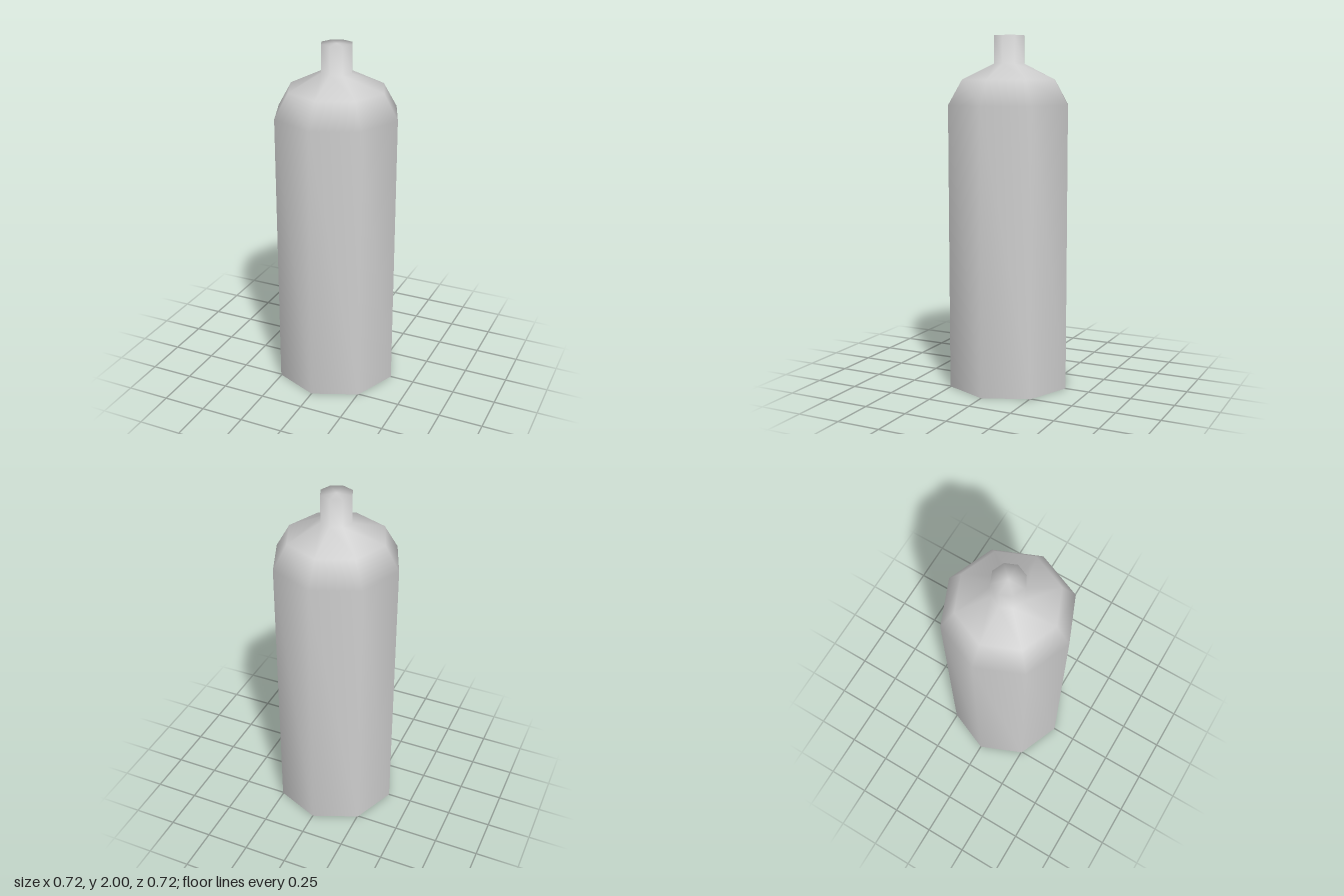
import * as THREE from 'three';
import { mergeVertices } from 'three/addons/utils/BufferGeometryUtils.js';

const SIDES = 8;
const BODY_RADIUS = 0.359;
const NECK_RADIUS = 0.09;

// Eight-sided turned shell with normals smoothed across all its faces
function smoothLathe(profile) {
  const points = profile.map(([r, y]) => new THREE.Vector2(r, y));
  const lathe = new THREE.LatheGeometry(points, SIDES);
  lathe.deleteAttribute('uv');
  lathe.deleteAttribute('normal');
  const geometry = mergeVertices(lathe, 1e-4);
  geometry.computeVertexNormals();
  return geometry;
}

export function createModel() {
  const group = new THREE.Group();
  group.name = 'bottle';
  const material = new THREE.MeshStandardMaterial({ color: 0xcccccc });

  // Straight body, sloping shoulder and closed neck in one continuous skin
  const shell = new THREE.Mesh(smoothLathe([
    [BODY_RADIUS, 0],
    [BODY_RADIUS, 1.615],
    [0.278, 1.755],
    [NECK_RADIUS, 1.845],
    [NECK_RADIUS, 2],
    [0, 2],
  ]), material);
  shell.name = 'bottleShell';
  group.add(shell);

  // Flat underside
  const base = new THREE.Mesh(new THREE.CircleGeometry(BODY_RADIUS, SIDES), material);
  base.rotation.x = Math.PI / 2;
  base.name = 'base';
  group.add(base);

  return group;
}
